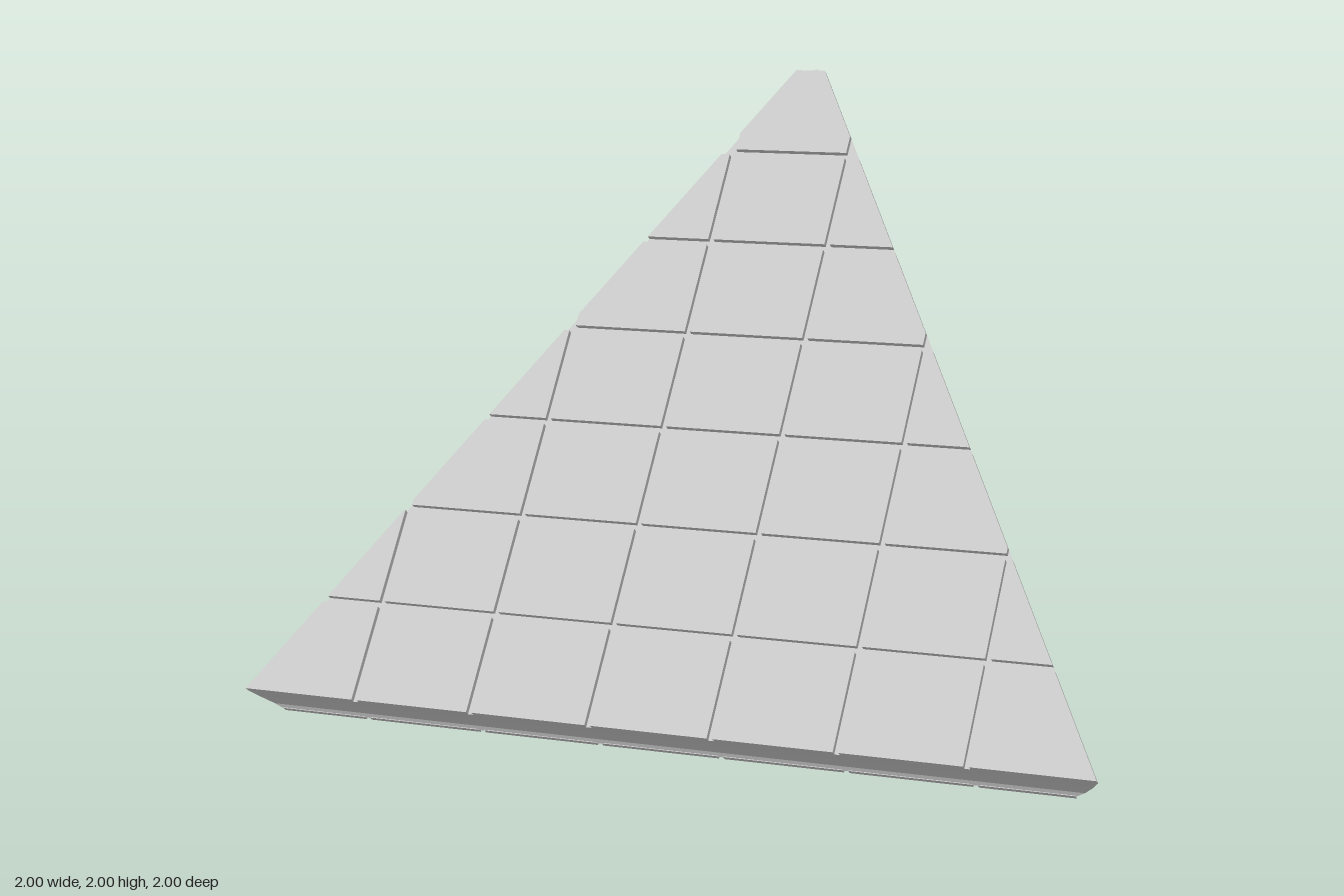
import * as THREE from 'three';

const material = new THREE.MeshStandardMaterial({ color: 0xcccccc, flatShading: true });

// Right half outline (corner, mid edge, apex), mirrored to a full counter-clockwise loop
const mirrorLoop = half => [...half, ...half.slice().reverse().map(([p, q]) => [-p, q])];
const OUTER = mirrorLoop([[1.388, 0.053], [0.735, 1.2], [0.05, 2.396]]);
const SHOULDER = mirrorLoop([[1.369, 0.052], [0.726, 1.2], [0, 2.433]]);
const RIDGE = mirrorLoop([[1.332, 0.05], [0.695, 1.2], [0, 2.358]]);
const INNER = mirrorLoop([[1.303, 0.041], [0.66, 1.2], [0, 2.318]]);

// Keep the part of a polygon where sign * coordinate >= sign * limit
function clip(poly, axis, limit, sign) {
  const out = [];
  poly.forEach((a, i) => {
    const b = poly[(i + 1) % poly.length];
    const da = sign * (a[axis] - limit), db = sign * (b[axis] - limit);
    if (da >= 0) out.push(a);
    if (da * db < 0) {
      const t = da / (da - db);
      out.push([a[0] + (b[0] - a[0]) * t, a[1] + (b[1] - a[1]) * t]);
    }
  });
  return out;
}

function area(poly) {
  return poly.reduce((s, a, i) => {
    const b = poly[(i + 1) % poly.length];
    return s + (a[0] * b[1] - b[0] * a[1]) / 2;
  }, 0);
}

// Solid through a stack of loops, from the outer face down to the inner one
function loft(layers) {
  const pos = [], idx = [], n = layers[0].loop.length;
  layers.forEach(({ loop, h }) => loop.forEach(([p, q]) => pos.push(p, q, h)));
  for (let k = 0; k < layers.length - 1; k++) {
    for (let i = 0; i < n; i++) {
      const j = (i + 1) % n;
      const a = k * n + i, b = k * n + j, c = a + n, d = b + n;
      idx.push(a, c, b, b, c, d);
    }
  }
  const last = (layers.length - 1) * n;
  for (let i = 1; i < n - 1; i++) {
    idx.push(0, i, i + 1, last, last + i + 1, last + i);
  }
  const g = new THREE.BufferGeometry();
  g.setAttribute('position', new THREE.Float32BufferAttribute(pos, 3));
  g.setIndex(idx);
  const flat = g.toNonIndexed();
  flat.computeVertexNormals();
  return flat;
}

// One face of rectangular tiles, trimmed to the triangular outline
function tileFace(name, outline, base, depth) {
  const face = new THREE.Group();
  face.name = name;
  const cols = [-2, -1, -0.6, -0.2, 0.2, 0.6, 1, 2];
  const rows = [-1, ...Array.from({ length: 6 }, (_, k) => 0.382 + 0.339 * k), 3];
  const gapP = 0.009, gapQ = 0.01;
  for (let r = 0; r < rows.length - 1; r++) {
    for (let c = 0; c < cols.length - 1; c++) {
      let poly = clip(outline, 0, cols[c] + gapP, 1);
      poly = clip(poly, 0, cols[c + 1] - gapP, -1);
      poly = clip(poly, 1, rows[r] + gapQ, 1);
      poly = clip(poly, 1, rows[r + 1] - gapQ, -1);
      if (poly.length < 3 || area(poly) < 0.0003) continue;
      const shape = new THREE.Shape(poly.map(([p, q]) => new THREE.Vector2(p, q)));
      const geo = new THREE.ExtrudeGeometry(shape, { depth, bevelEnabled: false });
      geo.translate(0, 0, base);
      const tile = new THREE.Mesh(geo, material);
      tile.name = 'tile';
      face.add(tile);
    }
  }
  return face;
}

export function createModel() {
  const model = new THREE.Group();
  model.name = 'triangularTiledPanel';

  // Leaning slab frame: along the base edge, up the slope, out of the face
  const slab = new THREE.Group();
  slab.name = 'leaningSlab';
  const basis = new THREE.Matrix4().makeBasis(
    new THREE.Vector3(1, 0, 1).normalize(),
    new THREE.Vector3(1, 2, -1).normalize(),
    new THREE.Vector3(-1, 1, 1).normalize()
  );
  slab.quaternion.setFromRotationMatrix(basis);
  model.add(slab);

  // Core with bevelled rim, visible in the grooves and along the edges
  const core = new THREE.Mesh(loft([
    { loop: OUTER, h: 0.058 },
    { loop: SHOULDER, h: 0.023 },
    { loop: RIDGE, h: -0.03 },
    { loop: INNER, h: -0.043 }
  ]), material);
  core.name = 'core';
  slab.add(core);

  // Tiles on both faces
  slab.add(tileFace('outerTiles', OUTER, 0.055, 0.02));
  slab.add(tileFace('innerTiles', INNER, -0.058, 0.018));
  return model;
}
